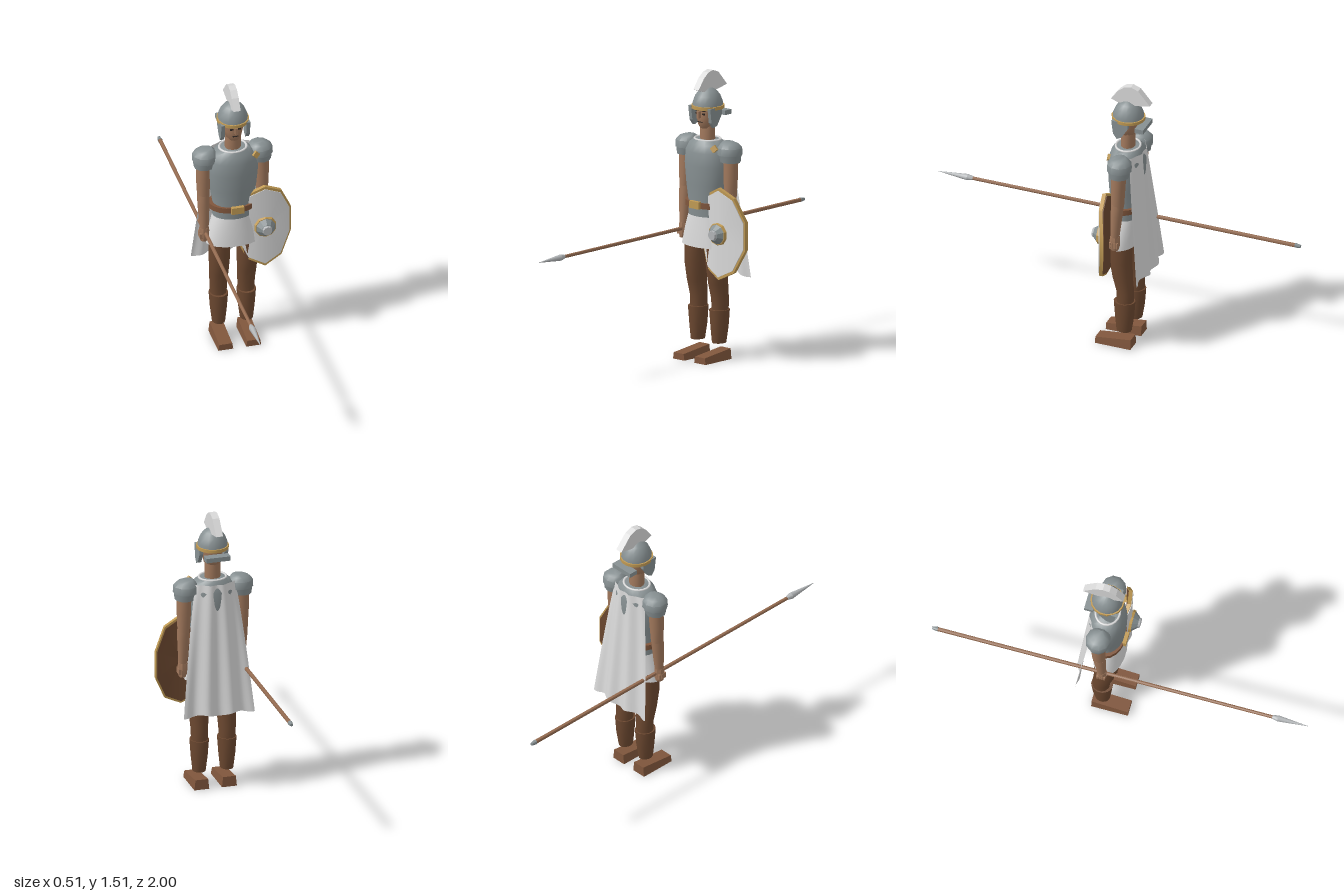
import * as THREE from 'three';
import { toCreasedNormals } from 'three/addons/utils/BufferGeometryUtils.js';

const mat = (name, color, side = THREE.FrontSide) => {
  const m = new THREE.MeshStandardMaterial({ color, side });
  m.name = name;
  return m;
};

export function createModel() {
  const steel = mat('steel', 0x879092), cloth = mat('white cloth', 0xdadada, THREE.DoubleSide);
  const skin = mat('skin', 0xa1785c), trousers = mat('dark brown', 0x6c4830);
  const leather = mat('leather', 0x80563c), gold = mat('gold', 0xc09a54);
  const wood = mat('wood', 0x946b50), tipSteel = mat('bright steel', 0xb2b5b7);
  const dark = mat('dark', 0x2e2622);
  const root = new THREE.Group();
  const CX = -0.048;            // body centre line
  const CZ = -0.11;

  const add = (name, geo, material, x = 0, y = 0, z = 0) => {
    const m = new THREE.Mesh(geo, material);
    m.name = name;
    m.position.set(x, y, z);
    root.add(m);
    return m;
  };
  const box = (name, w, h, d, material, x, y, z) => add(name, new THREE.BoxGeometry(w, h, d), material, x, y, z);

  // Closed loft through elliptical rings [y, x, z, rx, rz], listed bottom to top
  const loft = (rings, seg = 12, crease = 0.75) => {
    const pos = [], idx = [];
    for (const [y, x, z, rx, rz] of rings)
      for (let j = 0; j < seg; j++) {
        const a = (j + 0.5) / seg * Math.PI * 2;
        pos.push(x + Math.cos(a) * rx, y, z + Math.sin(a) * rz);
      }
    const n = rings.length;
    for (let i = 0; i < n - 1; i++)
      for (let j = 0; j < seg; j++) {
        const k = (j + 1) % seg, a = i * seg + j, b = i * seg + k;
        idx.push(a, a + seg, b, b, a + seg, b + seg);
      }
    const top = (n - 1) * seg;
    for (let j = 1; j < seg - 1; j++) {
      idx.push(0, j, j + 1, top, top + j + 1, top + j);
    }
    const g = new THREE.BufferGeometry();
    g.setAttribute('position', new THREE.Float32BufferAttribute(pos, 3));
    g.setIndex(idx);
    return toCreasedNormals(g, crease);
  };

  // Flat plate outlined in (z, y), with its thickness along x
  const plate = (pts, w) => new THREE.ExtrudeGeometry(
    new THREE.Shape(pts.map(p => new THREE.Vector2(...p))), { depth: w, bevelEnabled: false })
    .translate(0, 0, -w / 2).rotateY(-Math.PI / 2);

  // Torso, belt and skirt
  add('cuirass', loft([
    [0.755, CX, -0.105, 0.110, 0.080], [0.83, CX, -0.105, 0.108, 0.083],
    [0.92, CX, -0.106, 0.122, 0.092], [1.02, CX, -0.106, 0.132, 0.096],
    [1.09, CX, -0.107, 0.126, 0.094], [1.13, CX, -0.108, 0.104, 0.083],
    [1.152, CX, -0.108, 0.074, 0.068]], 20), steel);
  add('collar', new THREE.TorusGeometry(0.066, 0.006, 6, 20).rotateX(Math.PI / 2).scale(1.08, 1, 0.95), cloth, CX, 1.152, -0.108);
  add('belt', loft([[0.8, CX, -0.105, 0.128, 0.092], [0.83, CX, -0.105, 0.128, 0.092]], 20), leather);
  box('buckle', 0.066, 0.038, 0.02, gold, CX, 0.818, -0.013);
  add('skirt', loft([[0.595, CX, -0.095, 0.148, 0.083], [0.68, CX, -0.1, 0.13, 0.081],
    [0.76, CX, -0.105, 0.108, 0.078]], 20), cloth);
  const brooch = box('brooch', 0.03, 0.03, 0.014, gold, 0.058, 1.122, -0.043);
  brooch.rotation.set(-0.2, 0.3, Math.PI / 4);

  // Head and face
  add('neck', loft([[1.13, CX, -0.108, 0.042, 0.037], [1.24, CX, -0.108, 0.041, 0.036]]), skin);
  add('head', loft([[1.212, CX, -0.098, 0.027, 0.034], [1.232, CX, -0.1, 0.042, 0.048],
    [1.27, CX, -0.104, 0.052, 0.055], [1.33, CX, -0.106, 0.054, 0.056]], 14), skin);
  box('nose', 0.014, 0.036, 0.022, skin, CX, 1.287, -0.042);
  box('mouth', 0.03, 0.004, 0.006, dark, CX, 1.247, -0.052);
  for (const s of [-1, 1]) {
    box('eye', 0.016, 0.008, 0.006, dark, CX + s * 0.021, 1.29, -0.053);
    box('eyebrow', 0.022, 0.005, 0.006, dark, CX + s * 0.022, 1.306, -0.054);
  }

  // Helmet
  add('helmetDome', loft([[1.318, CX, CZ, 0.078, 0.082], [1.345, CX, CZ, 0.077, 0.08],
    [1.38, CX, CZ, 0.064, 0.066], [1.405, CX, CZ, 0.045, 0.046],
    [1.421, CX, CZ, 0.02, 0.02], [1.425, CX, CZ, 0.004, 0.004]], 16), steel);
  add('browBand', loft([[1.314, CX, CZ, 0.084, 0.088], [1.331, CX, CZ, 0.084, 0.088]], 16), gold);
  box('neckGuard', 0.13, 0.024, 0.047, steel, CX, 1.285, -0.193);
  const cheek = [[-0.135, 1.325], [-0.135, 1.29], [-0.1, 1.235], [-0.075, 1.222], [-0.055, 1.25], [-0.045, 1.325]];
  for (const s of [-1, 1]) add('cheekGuard', plate(cheek, 0.02), steel, CX + s * 0.067);
  add('crest', plate([[-0.235, 1.42], [-0.205, 1.455], [-0.17, 1.495], [-0.13, 1.51], [-0.095, 1.503],
    [-0.06, 1.475], [-0.02, 1.42], [-0.06, 1.405], [-0.16, 1.405]], 0.037), cloth, CX);

  // Arms, shoulder guards, hands, legs and boots, mirrored about the centre line
  for (const s of [-1, 1]) {
    const ax = o => CX + s * o;
    add('shoulderGuard', loft([[1.088, ax(0.146), -0.118, 0.067, 0.066], [1.125, ax(0.146), -0.118, 0.065, 0.064],
      [1.145, ax(0.143), -0.118, 0.047, 0.046], [1.155, ax(0.135), -0.118, 0.028, 0.028]], 10), steel);
    add('shoulderBand', loft([[1.05, ax(0.151), -0.118, 0.053, 0.053], [1.1, ax(0.147), -0.118, 0.062, 0.062]], 10), steel);
    add('upperArm', loft([[0.87, ax(0.156), -0.112, 0.031, 0.034], [0.97, ax(0.155), -0.115, 0.037, 0.037],
      [1.09, ax(0.152), -0.118, 0.04, 0.04]]), skin);
    add('forearm', loft([[0.68, ax(0.155), -0.097, 0.023, 0.023], [0.82, ax(0.156), -0.107, 0.031, 0.031],
      [0.885, ax(0.156), -0.112, 0.032, 0.034]]), skin);
    add('hand', loft([[0.612, ax(0.158), -0.096, 0.018, 0.022], [0.64, ax(0.155), -0.096, 0.029, 0.028],
      [0.69, ax(0.155), -0.097, 0.025, 0.025]], 8), skin);
    for (let i = 0; i < 4; i++)
      box('finger', 0.014, 0.03, 0.01, skin, ax(0.175), 0.645, -0.115 + i * 0.012);

    const lx = CX + s * 0.074;
    add('thigh', loft([[0.24, lx, -0.122, 0.043, 0.045], [0.32, lx, -0.122, 0.045, 0.046],
      [0.4, lx, -0.108, 0.05, 0.053], [0.5, lx, -0.098, 0.055, 0.06],
      [0.64, lx, -0.1, 0.057, 0.06]], 12), trousers);
    add('shin', loft([[0.09, lx, -0.115, 0.034, 0.04], [0.17, lx, -0.118, 0.043, 0.05],
      [0.265, lx, -0.118, 0.05, 0.057]], 12), trousers);
    // Wedge boot: narrows upward and slopes down to the toe
    const boot = new THREE.BoxGeometry(0.08, 0.055, 0.195).translate(0, 0.0275, 0);
    const p = boot.attributes.position;
    for (let i = 0; i < p.count; i++)
      if (p.getY(i) > 0.01) {
        p.setX(i, p.getX(i) * 0.85);
        if (p.getZ(i) > 0) p.setY(i, 0.034);
      }
    boot.computeVertexNormals();
    add('boot', boot, leather, lx, 0, -0.0675);
  }

  // Cape: hugs the back at the top, flares into folds at the hem
  const cape = new THREE.PlaneGeometry(2, 1, 32, 12);
  const cp = cape.attributes.position;
  for (let i = 0; i < cp.count; i++) {
    const u = cp.getX(i), t = 0.5 - cp.getY(i);
    const zTop = CZ - 0.086 * Math.sqrt(1 - 0.75 * u * u);
    const zHem = -0.243 + 0.025 * u * u;
    const fold = Math.cos(u * Math.PI * 3) * (0.004 + 0.008 * t);
    cp.setXYZ(i, CX + u * (0.105 + 0.085 * Math.pow(t, 0.8)),
      1.135 - 0.7 * t - 0.007 * Math.cos(u * 7) * t, zTop + (zHem - zTop) * t + fold);
  }
  cape.computeVertexNormals();
  add('cape', cape, cloth);

  // Shield: ten-sided, bent around a vertical axis
  const shieldDisc = (scale, thick) => {
    const g = new THREE.CylinderGeometry(1, 1, thick, 10).rotateX(Math.PI / 2).scale(0.155 * scale, 0.242 * scale, 1);
    const p = g.attributes.position;
    for (let i = 0; i < p.count; i++) p.setZ(i, p.getZ(i) - 2 * p.getX(i) ** 2);
    return toCreasedNormals(g, 0.6);
  };
  add('shieldRim', shieldDisc(1, 0.02), gold, 0.102, 0.685, -0.036);
  add('shieldFace', shieldDisc(0.94, 0.008), cloth, 0.102, 0.685, -0.027);
  add('shieldBack', shieldDisc(0.95, 0.008), trousers, 0.102, 0.685, -0.047);
  const disc = (name, r1, r2, d, material, z) => add(name,
    toCreasedNormals(new THREE.CylinderGeometry(r1, r2, d, 10).rotateX(Math.PI / 2), 0.4), material, 0.102, 0.685, z);
  disc('bossCollar', 0.056, 0.06, 0.014, gold, -0.02);
  disc('boss', 0.03, 0.055, 0.03, steel, -0.001);
  disc('bossKnob', 0.024, 0.028, 0.012, tipSteel, 0.019);

  // Spear held level along z
  const rod = (name, rFront, rBack, z0, z1, material) => add(name,
    toCreasedNormals(new THREE.CylinderGeometry(rFront, rBack, z1 - z0, 8).rotateX(Math.PI / 2), 0.8),
    material, -0.2, 0.66, (z0 + z1) / 2);
  rod('spearShaft', 0.009, 0.011, -0.98, 0.85, wood);
  rod('spearSocket', 0.017, 0.01, 0.81, 0.84, tipSteel);
  rod('spearPoint', 0.001, 0.017, 0.84, 1, tipSteel);
  rod('spearButt', 0.013, 0.008, -1, -0.97, steel);

  return root;
}
